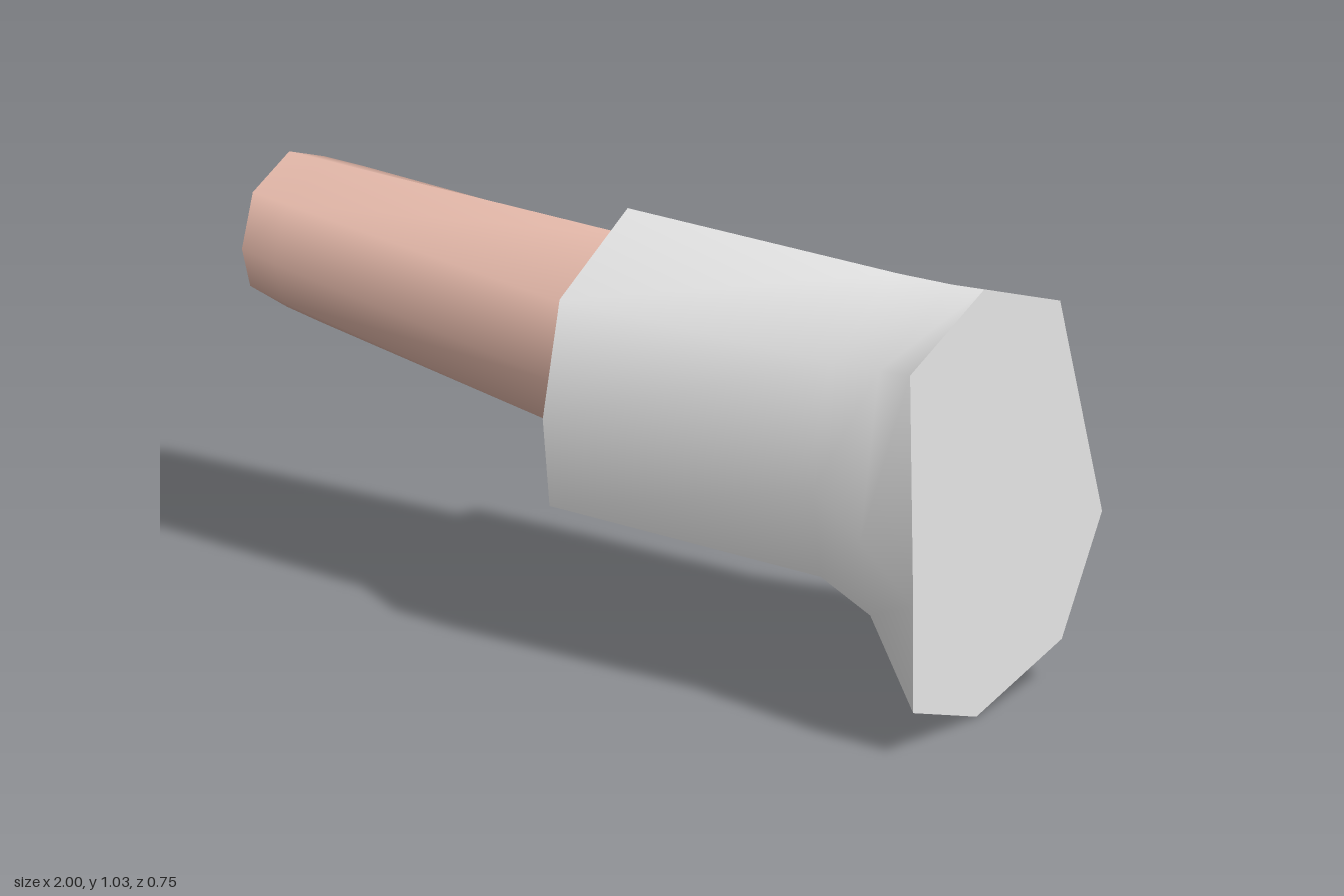
import * as THREE from 'three';
import { mergeVertices } from 'three/addons/utils/BufferGeometryUtils.js';

const SIDES = 8;

// Surface between rings, covering ring segments from..to; smooth or faceted
function loft(rings, from, to, smooth) {
  const pos = [];
  const put = (...pts) => pts.forEach(p => pos.push(...p));
  for (let r = 0; r < rings.length - 1; r++) {
    for (let s = from; s < to; s++) {
      const i = s % SIDES, j = (s + 1) % SIDES;
      const a = rings[r][i], b = rings[r][j], c = rings[r + 1][i], d = rings[r + 1][j];
      put(a, b, c, b, d, c);
    }
  }
  let geo = new THREE.BufferGeometry();
  geo.setAttribute('position', new THREE.Float32BufferAttribute(pos, 3));
  if (smooth) geo = mergeVertices(geo, 1e-4);
  geo.computeVertexNormals();
  return geo;
}

// End face fanned from the top corner, evenly shaded along the given x direction
function cap(ring, dir) {
  const pos = [], nor = [];
  for (let i = 1; i < SIDES - 1; i++) {
    const tri = dir > 0 ? [0, i, i + 1] : [0, i + 1, i];
    tri.forEach(k => { pos.push(...ring[k]); nor.push(dir, 0, 0); });
  }
  const geo = new THREE.BufferGeometry();
  geo.setAttribute('position', new THREE.Float32BufferAttribute(pos, 3));
  geo.setAttribute('normal', new THREE.Float32BufferAttribute(nor, 3));
  return geo;
}

// Ring at one x from [z, y] corners: top, front side down, bottom, back side up
const ring = (x, zy) => zy.map(([z, y]) => [x, y, z]);

export function createModel() {
  const model = new THREE.Group();
  const skin = new THREE.MeshStandardMaterial({ color: 0xe6baab });
  const cloth = new THREE.MeshStandardMaterial({ color: 0xe6e6e6 });
  skin.name = 'skin';
  cloth.name = 'pale cloth';

  const add = (name, geo, mat) => {
    const mesh = new THREE.Mesh(geo, mat);
    mesh.name = name;
    model.add(mesh);
  };

  // Tapering limb
  const limb = [
    ring(-1, [[0, 0.96], [0.145, 0.905], [0.188, 0.78], [0.155, 0.68], [0.01, 0.585], [-0.14, 0.675], [-0.18, 0.78], [-0.14, 0.905]]),
    ring(-0.9, [[0, 0.96], [0.155, 0.9], [0.202, 0.77], [0.165, 0.665], [0.01, 0.567], [-0.15, 0.66], [-0.195, 0.77], [-0.15, 0.9]]),
    ring(-0.06, [[0, 0.96], [0.215, 0.85], [0.265, 0.68], [0.22, 0.55], [0.01, 0.45], [-0.2, 0.54], [-0.26, 0.68], [-0.21, 0.85]]),
  ];
  add('limb', loft(limb, 0, SIDES, true), skin);
  add('limbEnd', cap(limb[0], -1), skin);

  // Sleeve flaring to a wide end
  const sleeve = [
    ring(-0.065, [[-0.01, 1.02], [0.26, 0.88], [0.327, 0.61], [0.3, 0.39], [0.01, 0.3], [-0.265, 0.39], [-0.322, 0.61], [-0.26, 0.88]]),
    ring(0.69, [[-0.01, 1.023], [0.26, 0.89], [0.33, 0.6], [0.3, 0.38], [0.01, 0.23], [-0.265, 0.38], [-0.325, 0.6], [-0.265, 0.89]]),
    ring(0.835, [[-0.015, 1.026], [0.275, 0.905], [0.35, 0.51], [0.31, 0.32], [0.01, 0.19], [-0.265, 0.32], [-0.35, 0.51], [-0.285, 0.905]]),
    [[0.92, 1.03, -0.02], [0.934, 0.92, 0.293], [1, 0.4, 0.375], [0.965, 0.115, 0.325],
      [0.92, 0, 0.01], [0.965, 0.115, -0.265], [1, 0.4, -0.375], [0.934, 0.92, -0.303]],
  ];
  add('sleeveSides', loft(sleeve, 5, 11, true), cloth);
  add('sleeveUnderside', loft(sleeve, 3, 5, false), cloth);
  add('sleeveRim', cap(sleeve[0], -1), cloth);
  add('sleeveEnd', cap(sleeve[3], 1), cloth);

  return model;
}
